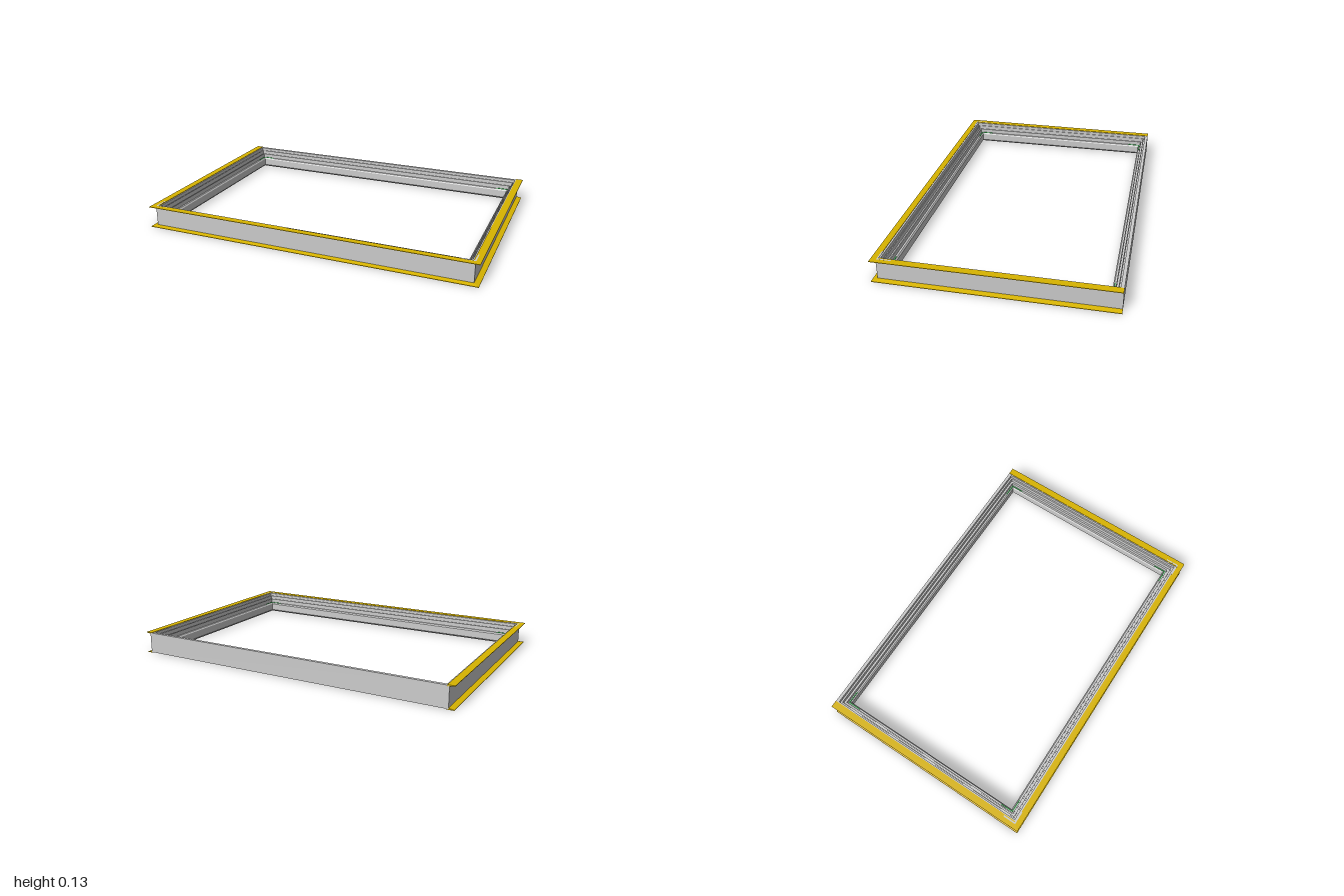
import * as THREE from 'three';

const GREY = 0xcccccc, YELLOW = 0xd8b400, GREEN = 0x2fae4a;
const mat = (color) => new THREE.MeshStandardMaterial({ color, flatShading: true, side: THREE.DoubleSide });
const mix = THREE.MathUtils.lerp;

// Sweeps a section around the four frame corners; an open sweep leaves out the back and is capped.
// corners(u) gives [half width, front z, back z] for a section coordinate u.
function sweep(section, corners, closed) {
  const pos = [], n = section.length;
  const point = (k, i) => {
    const [u, y] = section[i % n];
    const [x, front, back] = corners(u);
    return [[-x, y, back], [-x, y, front], [x, y, front], [x, y, back]][k % 4];
  };
  const tri = (a, b, c) => pos.push(...a, ...b, ...c);
  for (let k = 0; k < (closed ? 4 : 3); k++) {
    for (let i = 0; i < n; i++) {
      const a = point(k, i), b = point(k + 1, i), c = point(k + 1, i + 1), d = point(k, i + 1);
      tri(a, b, c);
      tri(a, c, d);
    }
  }
  if (!closed) {
    for (let i = 1; i < n - 1; i++) {
      tri(point(0, 0), point(0, i), point(0, i + 1));
      tri(point(3, 0), point(3, i + 1), point(3, i));
    }
  }
  const g = new THREE.BufferGeometry();
  g.setAttribute('position', new THREE.Float32BufferAttribute(pos, 3));
  g.computeVertexNormals();
  return g;
}

export function createModel() {
  const group = new THREE.Group();
  const add = (name, geometry, color) => {
    const mesh = new THREE.Mesh(geometry, mat(color));
    mesh.name = name;
    group.add(mesh);
    return mesh;
  };

  // Frame: stepped section, u = 0 at the outer face and 1 at the opening
  const frameSection = [
    [0, 0.003], [0, 0.127], [0.3, 0.127], [0.3, 0.104], [0.42, 0.104], [0.42, 0.112],
    [0.5, 0.112], [0.5, 0.084], [0.66, 0.084], [0.66, 0.092], [0.74, 0.092], [0.74, 0.066],
    [0.9, 0.066], [1, 0.058], [1, 0.014], [0.86, 0.003],
    [0.62, 0.003], [0.62, 0.009], [0.5, 0.009], [0.5, 0.003],
  ];
  const frameCorners = (u) => [mix(0.97, 0.907, u), mix(0.64, 0.57, u), mix(-0.667, -0.603, u)];
  add('frame', sweep(frameSection, frameCorners, true), GREY);

  // Tapered flanges on the left, front and right, u measured outward from the frame
  const flangeCorners = (u) => [0.97 + u, 0.64 + u * 0.9, -0.667];
  const upper = [[-0.012, 0.121], [0, 0.121], [0.03, 0.127], [0.03, 0.13], [-0.012, 0.13]];
  const lower = upper.map(([u, y]) => [u, 0.13 - y]).reverse();
  add('upperFlange', sweep(upper, flangeCorners, false), YELLOW);
  add('lowerFlange', sweep(lower, flangeCorners, false), YELLOW);

  // L-shaped corner pieces; sx and sz point to the corner
  function cornerPiece(name, x, y, z, sx, sz, length, width, height, color) {
    const along = add(name, new THREE.BoxGeometry(length, height, width), color);
    along.position.set(x - sx * length / 2, y, z - sz * width / 2);
    const across = add(name, new THREE.BoxGeometry(width, height, length), color);
    across.position.set(x - sx * width / 2, y, z - sz * length / 2);
  }
  for (const sx of [-1, 1]) {
    cornerPiece('frontCornerBracket', sx * 0.972, 0.129, 0.635, sx, 1, 0.08, 0.008, 0.0024, GREY);
    cornerPiece('sealCorner', sx * 0.919, 0.067, 0.583, sx, 1, 0.08, 0.005, 0.005, GREEN);
    cornerPiece('sealCorner', sx * 0.919, 0.067, -0.615, sx, -1, 0.08, 0.005, 0.005, GREEN);
  }
  return group;
}
